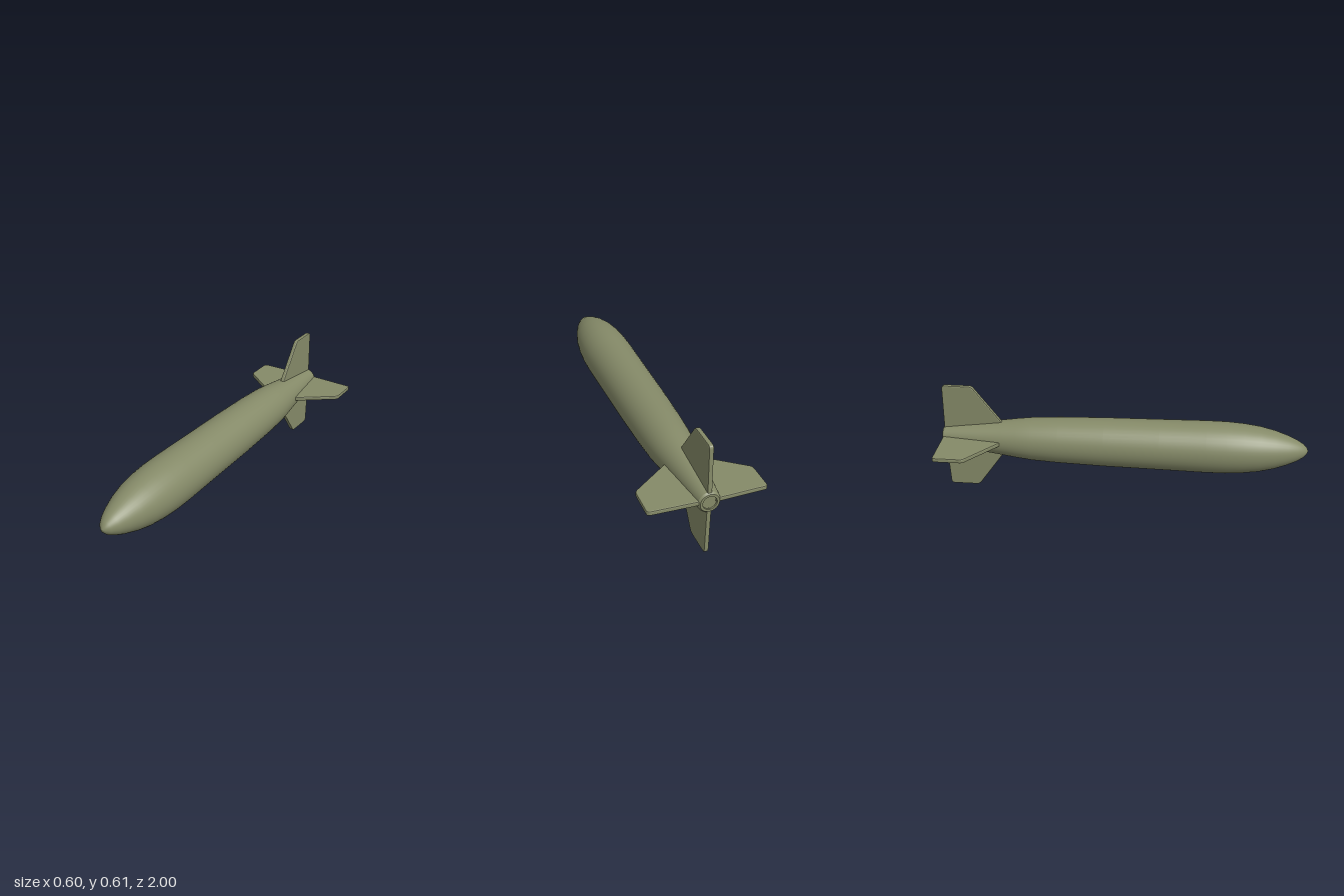
import * as THREE from 'three';

const AXIS_Y = 0.307;
const olive = new THREE.MeshStandardMaterial({ color: 0x858a68 });
olive.name = 'olive paint';

// Surface of revolution along z from [z, radius] pairs, rear to front
function turned(name, profile) {
  const points = profile.map(([z, r]) => new THREE.Vector2(r, z));
  const mesh = new THREE.Mesh(new THREE.LatheGeometry(points, 40).rotateX(Math.PI / 2), olive);
  mesh.name = name;
  mesh.position.y = AXIS_Y;
  return mesh;
}

// Swept plate fin with rounded tip corners and softened edges
function makeFin(name, angle, reach, y) {
  const s = new THREE.Shape();
  s.moveTo(0.03, -0.995);
  s.lineTo(reach - 0.02, -0.988);
  s.quadraticCurveTo(reach, -0.988, reach, -0.968);
  s.lineTo(reach, -0.84);
  s.quadraticCurveTo(reach, -0.822, reach - 0.018, -0.81);
  s.lineTo(0.1, -0.672);
  s.lineTo(0.03, -0.62);
  const geometry = new THREE.ExtrudeGeometry(s, {
    depth: 0.012, bevelThickness: 0.006, bevelSize: 0.006, bevelOffset: -0.006,
    bevelSegments: 2, curveSegments: 5,
  });
  geometry.translate(0, 0, -0.006).rotateX(Math.PI / 2);
  const fin = new THREE.Mesh(geometry, olive);
  fin.name = name;
  fin.rotation.z = angle;
  fin.position.y = y;
  return fin;
}

export function createModel() {
  const group = new THREE.Group();
  group.name = 'finnedBomb';

  // Long casing with a tapered tail and ogive nose
  group.add(turned('casing', [
    [-0.99, 0.056], [-0.9, 0.068], [-0.78, 0.083], [-0.66, 0.099], [-0.58, 0.11],
    [-0.5, 0.119], [-0.35, 0.127], [-0.1, 0.134], [0.2, 0.138], [0.45, 0.142],
    [0.56, 0.141], [0.65, 0.135], [0.74, 0.123], [0.82, 0.104], [0.89, 0.08],
    [0.94, 0.058], [0.975, 0.036], [0.993, 0.017], [1, 0],
  ]));

  // Flat tail plate with a chamfered rim and a shallow recess
  group.add(turned('tailRim', [[-1, 0.048], [-0.99, 0.056]]));
  group.add(turned('tailFace', [[-1, 0.036], [-1, 0.048]]));
  group.add(turned('tailRecessWall', [[-0.994, 0.034], [-1, 0.036]]));
  group.add(turned('tailRecess', [[-0.994, 0], [-0.994, 0.034]]));

  // Four fins in a cross
  group.add(makeFin('leftFin', 0, 0.3, 0.311));
  group.add(makeFin('topFin', Math.PI / 2, 0.304, AXIS_Y));
  group.add(makeFin('rightFin', Math.PI, 0.3, 0.311));
  group.add(makeFin('bottomFin', -Math.PI / 2, 0.306, AXIS_Y));
  return group;
}
